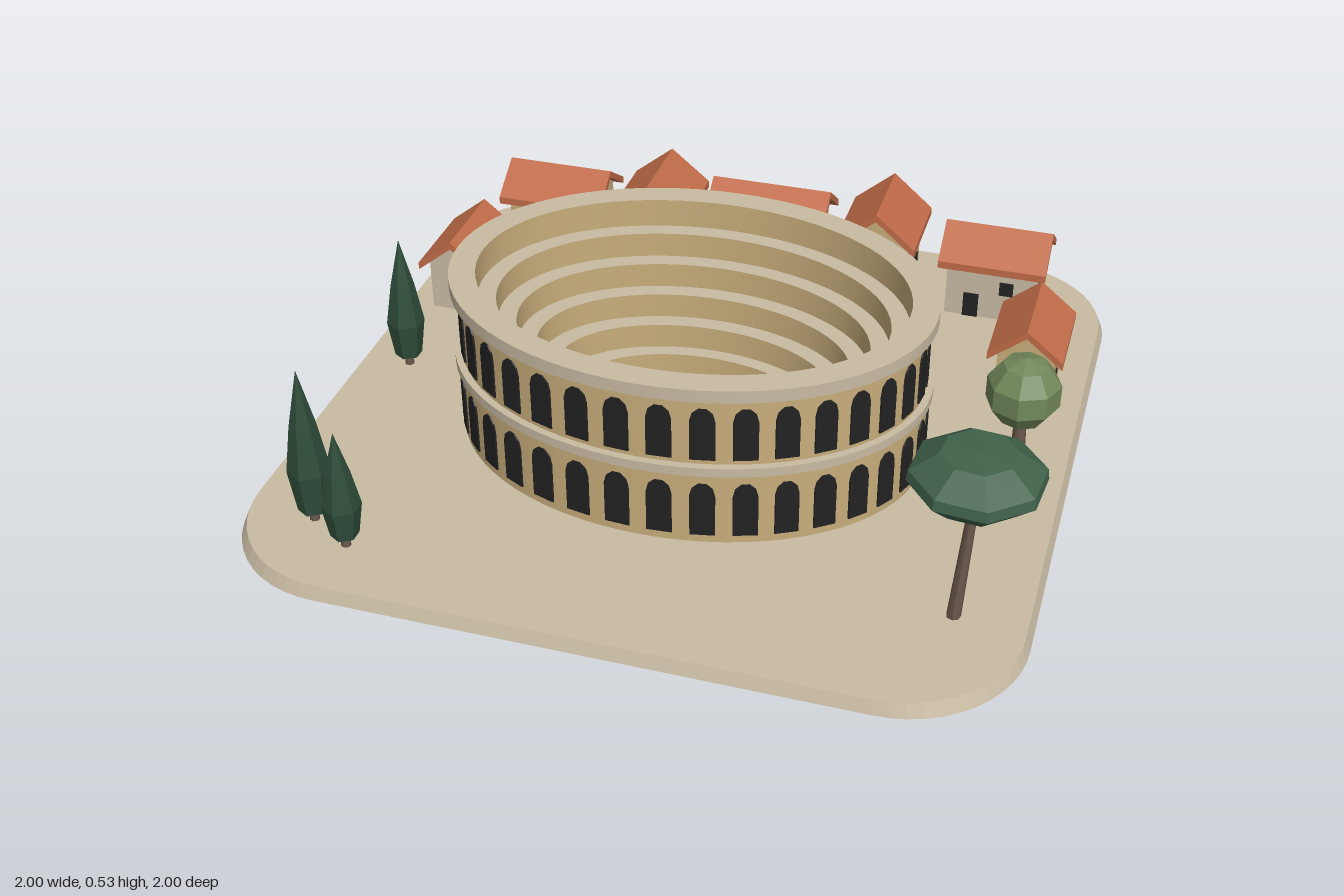
import * as THREE from 'three';
import { mergeGeometries } from 'three/addons/utils/BufferGeometryUtils.js';

const mat = (name, color, extra = {}) => new THREE.MeshStandardMaterial({ name, color, ...extra });

export function createModel() {
  const M = {
    stone: mat('pale stone', 0xc8bba3),
    ochre: mat('ochre plaster', 0xc8ad7b),
    dark: mat('dark opening', 0x222222),
    roof: mat('terracotta', 0xc06b48),
    trunk: mat('bark', 0x6b5a4e),
    cypress: mat('cypress green', 0x2f4d3a, { flatShading: true }),
    pine: mat('pine green', 0x40624a, { flatShading: true }),
    olive: mat('olive green', 0x71885a, { flatShading: true }),
  };
  const G = 0.035; // ground level
  const root = new THREE.Group();
  root.name = 'amphitheatreTown';

  function add(parent, name, geo, material, x = 0, y = 0, z = 0) {
    const m = new THREE.Mesh(geo, material);
    m.name = name;
    m.position.set(x, y, z);
    parent.add(m);
    return m;
  }
  function group(name, x, z) {
    const g = new THREE.Group();
    g.name = name;
    g.position.set(x, 0, z);
    root.add(g);
    return g;
  }
  const polygon = pts => new THREE.Shape(pts.map(p => new THREE.Vector2(...p)));

  // Plinth: rounded square, tapering slightly towards the top
  const s = new THREE.Shape(), c = 0.69;
  s.absarc(c, c, 1 - c, 0, Math.PI / 2);
  s.absarc(-c, c, 1 - c, Math.PI / 2, Math.PI);
  s.absarc(-c, -c, 1 - c, Math.PI, Math.PI * 1.5);
  s.absarc(c, -c, 1 - c, Math.PI * 1.5, Math.PI * 2);
  const plinth = new THREE.ExtrudeGeometry(s, { depth: G, bevelEnabled: false, curveSegments: 6 });
  plinth.rotateX(-Math.PI / 2);
  const pp = plinth.attributes.position;
  for (let i = 0; i < pp.count; i++) {
    if (pp.getY(i) > G / 2) pp.setXYZ(i, pp.getX(i) * 0.987, G, pp.getZ(i) * 0.987);
  }
  plinth.computeVertexNormals();
  add(root, 'plinth', plinth, M.stone);

  // Amphitheatre: elliptical bands between [rx, rz, y] profile points
  const arena = group('amphitheatre', 0, 0.11);
  function band(a, b) {
    const n = 72, pos = [], idx = [];
    for (let i = 0; i < n; i++) {
      const t = (i / n) * Math.PI * 2, j = (i + 1) % n;
      for (const [rx, rz, y] of [a, b]) pos.push(rx * Math.sin(t), y, rz * Math.cos(t));
      idx.push(2 * i, 2 * j, 2 * j + 1, 2 * i, 2 * j + 1, 2 * i + 1);
    }
    const g = new THREE.BufferGeometry();
    g.setAttribute('position', new THREE.Float32BufferAttribute(pos, 3));
    g.setIndex(idx);
    g.computeVertexNormals();
    return g;
  }
  function bands(name, material, ...profile) {
    const list = profile.slice(1).map((p, i) => band(profile[i], p));
    add(arena, name, mergeGeometries(list), material);
  }
  const LOW = [0.625, 0.465], UP = [0.618, 0.458], MID = [0.637, 0.477], TOP = [0.64, 0.48];
  bands('lowerWall', M.ochre, [...LOW, G], [...LOW, 0.246]);
  bands('middleCornice', M.stone, [...LOW, 0.245], [...MID, 0.245], [...MID, 0.27], [...UP, 0.27]);
  bands('upperWall', M.ochre, [...UP, 0.27], [...UP, 0.466]);

  // Seating tiers step down from the rim to the sand
  const tiers = [[0.57, 0.41, 0.5], [0.52, 0.365, 0.42], [0.47, 0.32, 0.35], [0.42, 0.275, 0.28],
    [0.367, 0.23, 0.21], [0.315, 0.192, 0.14]];
  bands('topCornice', M.stone, [...UP, 0.465], [...TOP, 0.465], [...TOP, 0.5], tiers[0]);
  const treads = [], risers = [];
  tiers.forEach(([rx, rz, y], i) => {
    const next = tiers[i + 1];
    const foot = [rx, rz, next ? next[2] : 0.045];
    risers.push(band([rx, rz, y], foot));
    if (next) treads.push(band(foot, next));
  });
  add(arena, 'seatTreads', mergeGeometries(treads), M.stone);
  add(arena, 'seatRisers', mergeGeometries(risers), M.ochre);
  const sand = new THREE.CircleGeometry(1, 72).rotateX(-Math.PI / 2).scale(0.315, 1, 0.192);
  add(arena, 'sandFloor', sand, M.ochre, 0, 0.045, 0);

  // Two storeys of 36 arches, laid out on a unit circle and scaled to the ellipse
  function arches(name, [rx, rz], y0, y1) {
    const w = 0.052, rise = 0.04, pts = [[-w, y0], [w, y0]];
    for (let i = 0; i <= 5; i++) {
      const t = (i / 5) * Math.PI;
      pts.push([w * Math.cos(t), y1 - rise + rise * Math.sin(t)]);
    }
    const list = [];
    for (let i = 0; i < 36; i++) {
      list.push(new THREE.ExtrudeGeometry(polygon(pts), { depth: 0.008, bevelEnabled: false })
        .translate(0, 0, 0.998).rotateY(((i + 0.5) / 36) * Math.PI * 2));
    }
    add(arena, name, mergeGeometries(list).scale(rx, 1, rz), M.dark);
  }
  arches('lowerArches', LOW, 0.058, 0.217);
  arches('upperArches', UP, 0.283, 0.435);

  // Houses: ridge runs along local x, door on local +z; turned ones face +x
  function house(name, x, z, L, D, eave, ridge, turned, wall) {
    const g = group(name, x, z);
    if (turned) g.rotation.y = Math.PI / 2;
    const prism = (pts, len) => new THREE.ExtrudeGeometry(polygon(pts), { depth: len, bevelEnabled: false })
      .translate(0, 0, -len / 2).rotateY(Math.PI / 2);
    const t = 0.022, o = 0.025, h = D / 2, w = h - o, len = L - 2 * o;
    const peak = ridge - t, top = eave + ((peak - eave) * o) / h;
    add(g, 'walls', prism([[-w, G], [w, G], [w, top + 0.003], [0, peak + 0.003], [-w, top + 0.003]], len), wall);
    add(g, 'roof', prism([[-h, eave], [0, peak], [h, eave], [h, eave + t], [0, ridge], [-h, eave + t]], L), M.roof);
    const pane = new THREE.BoxGeometry(0.04, 0.042, 0.008);
    const tall = eave > 0.23;
    add(g, 'door', new THREE.BoxGeometry(0.044, 0.076, 0.008), M.dark, -0.055, G + 0.038, w);
    add(g, 'frontWindow', pane, M.dark, 0.045, 0.14, w);
    if (tall) add(g, 'upperWindow', pane, M.dark, -0.055, 0.215, w);
    for (const side of [-1, 1]) {
      add(g, 'gableWindow', pane, M.dark, side * len / 2, tall ? 0.2 : 0.15, 0).rotation.y = Math.PI / 2;
    }
  }
  house('backHouseRight', -0.675, -0.75, 0.32, 0.23, 0.195, 0.295, false, M.ochre);
  house('gableHouseRight', -0.345, -0.707, 0.255, 0.23, 0.24, 0.355, true, M.stone);
  house('backHouseMiddle', -0.015, -0.767, 0.36, 0.225, 0.215, 0.32, false, M.ochre);
  house('gableHouseLeft', 0.34, -0.705, 0.262, 0.23, 0.255, 0.375, true, M.ochre);
  house('backHouseLeft', 0.67, -0.752, 0.31, 0.225, 0.195, 0.295, false, M.stone);
  house('sideHouseRight', -0.832, -0.38, 0.27, 0.205, 0.17, 0.275, true, M.stone);
  house('sideHouseLeft', 0.828, -0.38, 0.27, 0.205, 0.17, 0.275, true, M.ochre);

  // Trees: faceted crowns turned from a profile of [radius, y]
  const crown = (pts, sides) => new THREE.LatheGeometry(pts.map(p => new THREE.Vector2(...p)), sides);
  const trunk = (r0, r1, y1) => new THREE.CylinderGeometry(r1, r0, y1 - G, 7).translate(0, (G + y1) / 2, 0);

  for (const [x, z, top, r] of [[-0.855, 0.03, 0.435, 0.052], [-0.8, 0.747, 0.485, 0.054], [-0.68, 0.82, 0.375, 0.05]]) {
    const g = group('cypress', x, z), y0 = 0.065, h = top - y0;
    add(g, 'trunk', trunk(0.013, 0.011, 0.09), M.trunk);
    add(g, 'crown', crown([[0, y0], [r * 0.72, y0 + 0.005], [r, y0 + h * 0.3], [r * 0.62, y0 + h * 0.62], [0, top]], 6), M.cypress);
  }

  const olive = group('roundTree', 0.853, -0.037);
  add(olive, 'trunk', trunk(0.02, 0.016, 0.16), M.trunk);
  add(olive, 'crown', new THREE.SphereGeometry(0.102, 8, 5), M.olive, 0, 0.23, 0);

  const pine = group('umbrellaPine', 0.835, 0.655);
  const stem = trunk(0.018, 0.012, 0.4);
  const sp = stem.attributes.position;
  for (let i = 0; i < sp.count; i++) sp.setX(i, sp.getX(i) - (0.4 - sp.getY(i)) * 0.07); // slight lean
  stem.computeVertexNormals();
  add(pine, 'trunk', stem, M.trunk);
  add(pine, 'crown', crown([[0, 0.383], [0.1, 0.388], [0.162, 0.445], [0.158, 0.472], [0.09, 0.52], [0, 0.527]], 8), M.pine)
    .rotation.y = 0.3;

  return root;
}
